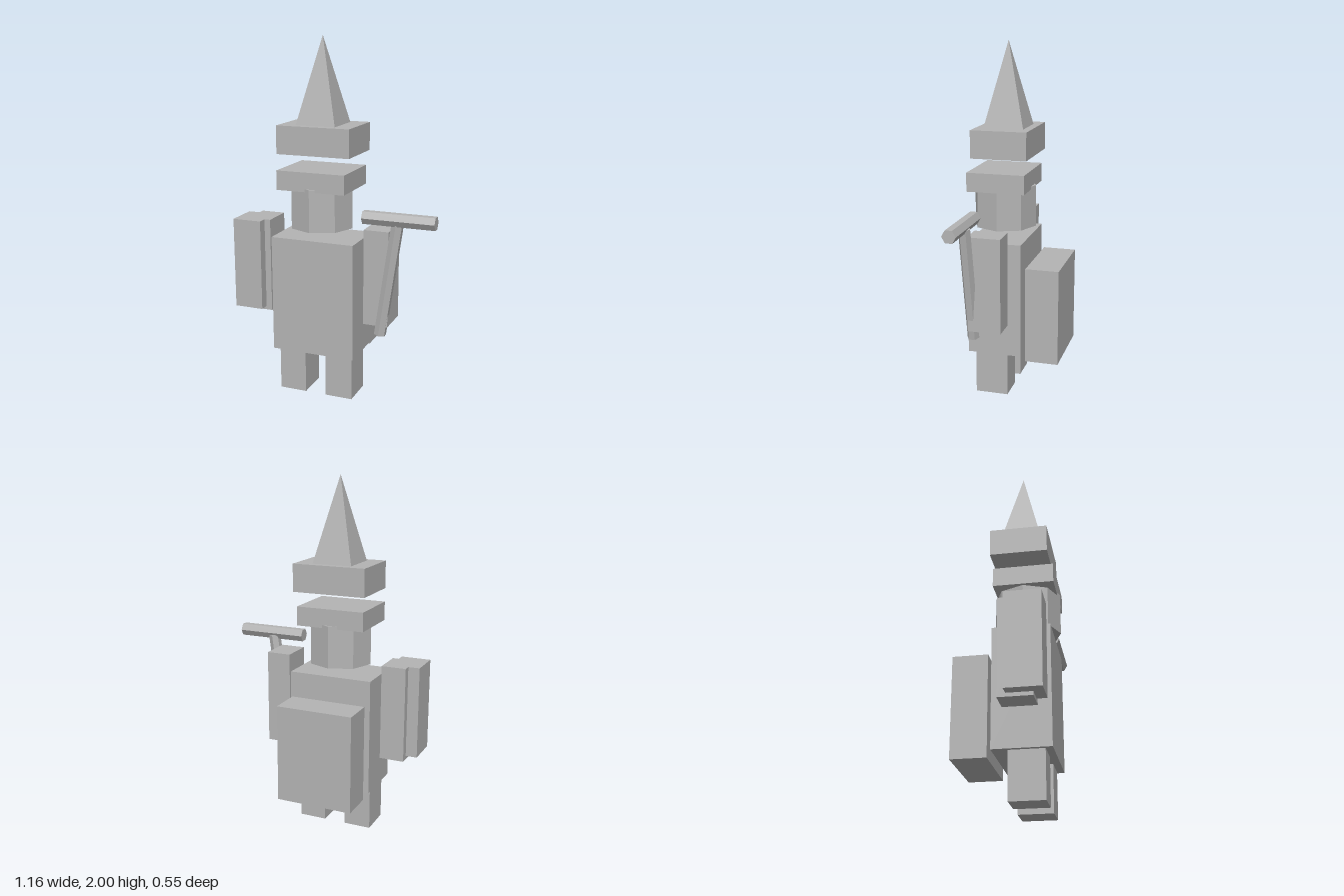
import * as THREE from 'three';

export function createModel() {
  const model = new THREE.Group();
  const grey = new THREE.MeshStandardMaterial({ color: 0xb4b4b4 });
  grey.name = 'plain grey';

  function add(name, geometry, x, y, z) {
    // flat facets on every part
    const flat = geometry.index ? geometry.toNonIndexed() : geometry;
    flat.computeVertexNormals();
    const mesh = new THREE.Mesh(flat, grey);
    mesh.name = name;
    mesh.position.set(x, y, z);
    model.add(mesh);
    return mesh;
  }

  // box given by its extents on each axis
  function block(name, [x0, x1], [y0, y1], [z0, z1]) {
    return add(name, new THREE.BoxGeometry(x1 - x0, y1 - y0, z1 - z0),
      (x0 + x1) / 2, (y0 + y1) / 2, (z0 + z1) / 2);
  }

  // hexagonal rod between two points
  function rod(name, from, to, radius) {
    const a = new THREE.Vector3(...from), b = new THREE.Vector3(...to);
    const mid = a.clone().add(b).multiplyScalar(0.5);
    const mesh = add(name, new THREE.CylinderGeometry(radius, radius, a.distanceTo(b), 6), mid.x, mid.y, mid.z);
    mesh.quaternion.setFromUnitVectors(new THREE.Vector3(0, 1, 0), b.sub(a).normalize());
  }

  // legs and torso
  block('rightLeg', [-0.317, -0.16], [0, 0.255], [0.02, 0.207]);
  block('leftLeg', [-0.037, 0.12], [0, 0.255], [0.02, 0.207]);
  block('torso', [-0.34, 0.14], [0.255, 0.912], [-0.063, 0.245]);
  block('backpack', [-0.317, 0.121], [0.222, 0.773], [-0.274, -0.085]);

  // arms, with a shield slab outside the right one
  block('rightArm', [-0.518, -0.38], [0.455, 0.99], [0, 0.18]);
  block('leftArm', [0.18, 0.32], [0.455, 0.99], [0, 0.187]);
  block('shield', [-0.582, -0.415], [0.475, 0.99], [0.043, 0.234]);

  // octagonal head with a corner facing forward
  add('head', new THREE.CylinderGeometry(0.18, 0.18, 0.236, 8), -0.1, 1.083, 0.092);

  // headband, hat brim and pyramid hat
  block('headband', [-0.295, 0.096], [1.185, 1.292], [-0.07, 0.26]);
  block('hatBrim', [-0.307, 0.112], [1.375, 1.53], [-0.086, 0.23]);
  const hat = new THREE.ConeGeometry(0.113 * Math.SQRT2, 0.47, 4).rotateY(Math.PI / 4);
  add('hatPeak', hat, -0.099, 1.765, 0.071);

  // hammer: a leaning handle with a crosswise head
  rod('hammerHandle', [0.273, 0.403, 0.17], [0.37, 1.05, 0.181], 0.034);
  rod('hammerHead', [0.18, 1.063, 0.19], [0.58, 1.063, 0.19], 0.039);

  return model;
}
